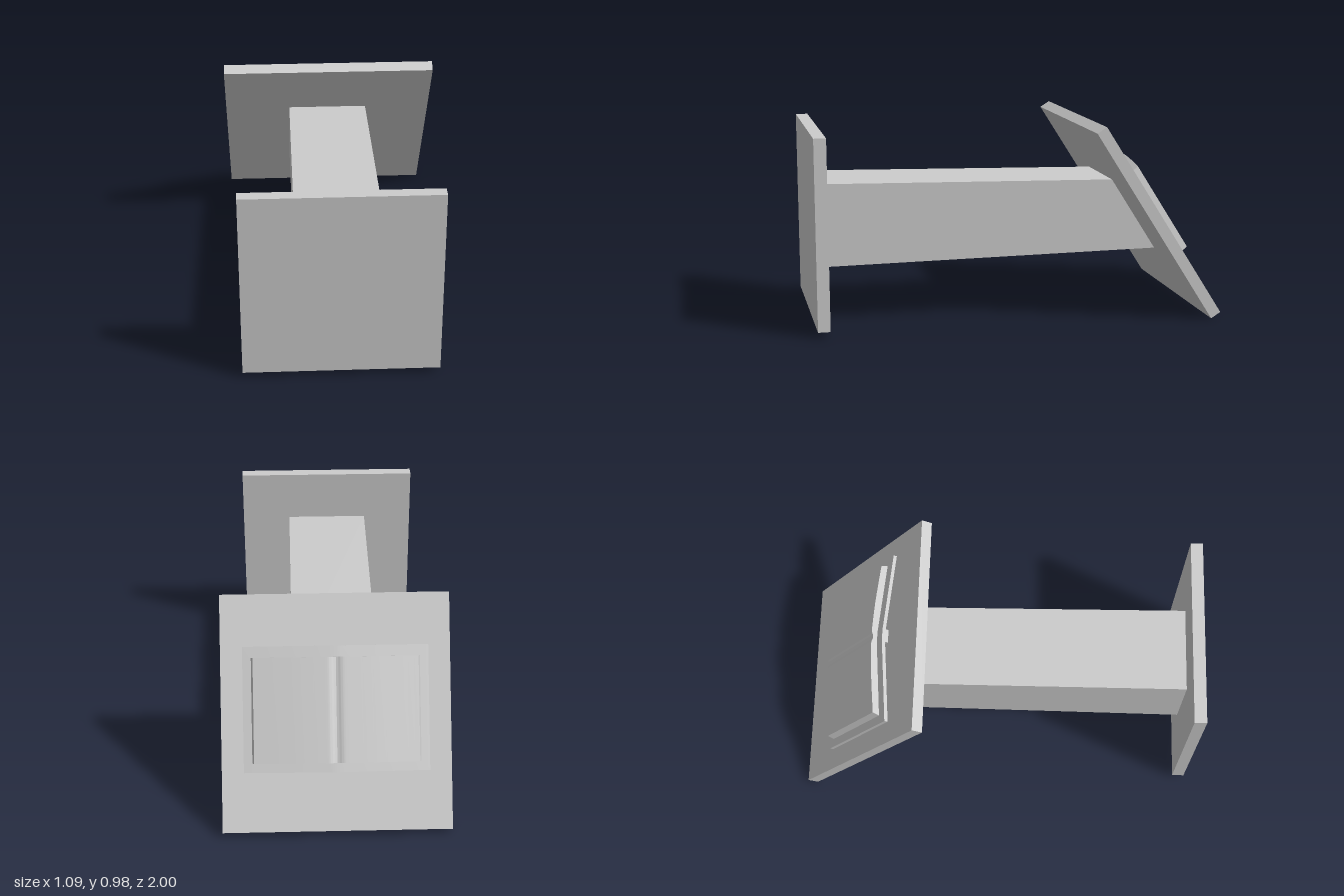
import * as THREE from 'three';
import { toCreasedNormals } from 'three/addons/utils/BufferGeometryUtils.js';

const material = new THREE.MeshStandardMaterial({ color: 0xcccccc });

function part(name, geometry, x = 0, y = 0, z = 0) {
  const mesh = new THREE.Mesh(geometry, material);
  mesh.name = name;
  mesh.position.set(x, y, z);
  return mesh;
}

// Extrudes a profile mirrored about x = 0, from z0 to z1.
// Both edges run from the centre outwards.
function mirroredExtrusion(upper, lower, z0, z1) {
  const half = [...lower, ...[...upper].reverse()];
  const other = [...half].reverse().map(([x, y]) => [-x, y]);
  const points = [...half, ...other]
    .map(([x, y]) => new THREE.Vector2(x, y))
    .filter((p, i, all) => i === 0 || p.distanceTo(all[i - 1]) > 1e-5);
  if (points[0].distanceTo(points[points.length - 1]) < 1e-5) points.pop();
  const geometry = new THREE.ExtrudeGeometry(new THREE.Shape(points), {
    depth: z1 - z0, bevelEnabled: false,
  });
  geometry.translate(0, 0, z0);
  return toCreasedNormals(geometry, 0.4);
}

// Tapered column whose far end is cut along the sloping board
function columnGeometry() {
  const geometry = new THREE.BoxGeometry(1, 1, 1);
  const pos = geometry.attributes.position;
  for (let i = 0; i < pos.count; i++) {
    const far = pos.getZ(i) < 0;
    const top = pos.getY(i) > 0;
    const y = far ? (top ? 0.665 : 0.30) : (top ? 0.70 : 0.288);
    const z = far ? -0.672 + (y - 0.492) * 0.636 : 0.94;
    pos.setXYZ(i, Math.sign(pos.getX(i)) * (far ? 0.205 : 0.21), y, z);
  }
  const flat = geometry.toNonIndexed();
  flat.computeVertexNormals();
  return flat;
}

// Open book; local y points away from the board, z up its slope
function createBook() {
  const book = new THREE.Group();
  book.name = 'openBook';

  // Cover rising towards the spine
  book.add(part('cover', mirroredExtrusion(
    [[0, 0.058], [0.03, 0.058], [0.44, 0.019]],
    [[0, 0.04], [0.03, 0.04], [0.44, 0.001]], -0.28, 0.315)));

  // Spine strip under the fold
  book.add(part('spine', new THREE.BoxGeometry(0.066, 0.02, 0.595), 0, 0.034, 0.0175));

  // Gently bowed page blocks with a gutter between them
  const curve = new THREE.SplineCurve([
    [0, 0.080], [0.012, 0.083], [0.03, 0.089], [0.07, 0.088],
    [0.2, 0.079], [0.39, 0.058],
  ].map(([x, y]) => new THREE.Vector2(x, y)));
  const upper = curve.getPoints(30).map((p) => [p.x, p.y]);
  book.add(part('pages', mirroredExtrusion(
    upper, [[0, 0.055], [0.03, 0.055], [0.4, 0.02]], -0.235, 0.262)));
  return book;
}

export function createModel() {
  const model = new THREE.Group();
  model.name = 'lectern';

  model.add(part('basePlate', new THREE.BoxGeometry(0.93, 0.93, 0.06), 0, 0.495, 0.97));
  model.add(part('column', columnGeometry()));

  // Sloping reading board with the book on its outer face
  const desk = new THREE.Group();
  desk.name = 'readingDesk';
  desk.position.set(0, 0.507, -0.696);
  desk.rotation.x = -1.004;
  desk.add(part('board', new THREE.BoxGeometry(1.09, 0.056, 1.126), 0, -0.028, 0));
  desk.add(createBook());
  model.add(desk);

  return model;
}
